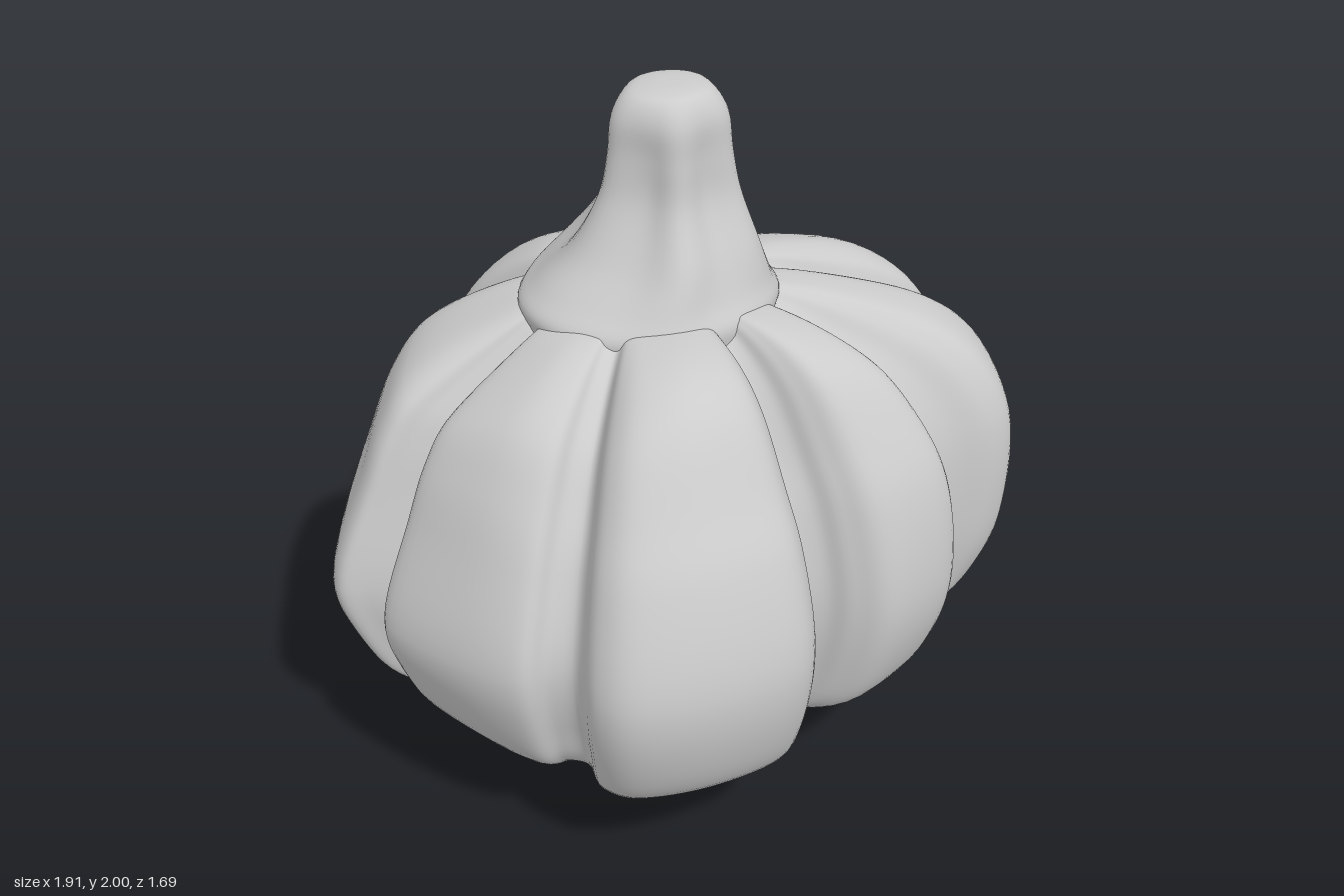
import * as THREE from 'three';

// Closed loft: fn(t, u) gives a point, t runs top to bottom, u runs round from +x towards +z.
function loft(rows, cols, fn) {
  const pos = [], idx = [];
  for (let i = 0; i <= rows; i++)
    for (let j = 0; j < cols; j++) pos.push(...fn(i / rows, j / cols));
  for (let i = 0; i < rows; i++)
    for (let j = 0; j < cols; j++) {
      const k = (j + 1) % cols;
      const a = i * cols + j, b = i * cols + k, c = a + cols, d = b + cols;
      idx.push(a, b, c, b, d, c);
    }
  const geo = new THREE.BufferGeometry();
  geo.setAttribute('position', new THREE.Float32BufferAttribute(pos, 3));
  geo.setIndex(idx);
  geo.computeVertexNormals();
  return geo;
}

const curve = (pts, closed = false) =>
  new THREE.CatmullRomCurve3(pts.map((p) => new THREE.Vector3(...p)), closed, 'centripetal');

// Lobed plan outline: x, groove depth, z
const outline = curve([
  [0.83, 1, -0.1], [0.83, 0.9, -0.04], [0.92, 0.5, 0], [0.95, 0.1, 0.13], [0.92, 0.2, 0.28],
  [0.84, 0.5, 0.345], [0.71, 0.85, 0.35], [0.63, 1, 0.37], [0.63, 0.5, 0.48], [0.58, 0.15, 0.58],
  [0.4, 0.1, 0.65], [0.29, 0.4, 0.61], [0.22, 0.8, 0.55], [0.14, 1, 0.54], [0.12, 0.5, 0.72],
  [0.02, 0.15, 0.81], [-0.2, 0, 0.84], [-0.4, 0.2, 0.81], [-0.49, 0.55, 0.72], [-0.49, 1, 0.58],
  [-0.55, 0.75, 0.545], [-0.64, 0.35, 0.545], [-0.75, 0.05, 0.41], [-0.87, 0.3, 0.17], [-0.83, 0.75, 0.08],
  [-0.78, 1, 0.02], [-0.87, 0.75, -0.02], [-0.95, 0.4, -0.06], [-0.92, 0.05, -0.2], [-0.8, 0, -0.45],
  [-0.67, 0.4, -0.56], [-0.54, 0.9, -0.565], [-0.48, 1, -0.61], [-0.48, 0.5, -0.74], [-0.3, 0.1, -0.82],
  [-0.03, 0.35, -0.84], [0.05, 0.85, -0.74], [0.14, 0.9, -0.72], [0.22, 0.4, -0.77], [0.32, 0.05, -0.81],
  [0.42, 0.05, -0.77], [0.55, 0.5, -0.67], [0.61, 1, -0.57], [0.66, 0.8, -0.545], [0.75, 0.4, -0.53],
  [0.88, 0, -0.32], [0.92, 0.3, -0.2], [0.86, 0.75, -0.14],
], true);

// Side profiles (relative radius, height), top to bottom, for the four main directions
const profiles = {
  left: [[0, 1.38], [0.3, 1.41], [0.55, 1.37], [0.78, 1.29], [0.92, 1.18], [1, 1.0],
    [0.99, 0.7], [0.95, 0.55], [0.86, 0.41], [0.6, 0.27], [0.3, 0.12], [0, 0]],
  right: [[0, 1.38], [0.3, 1.41], [0.48, 1.36], [0.74, 1.23], [0.82, 1.12], [0.89, 0.95],
    [1, 0.65], [0.96, 0.5], [0.85, 0.33], [0.6, 0.18], [0.3, 0.07], [0, 0]],
  front: [[0, 1.38], [0.3, 1.43], [0.55, 1.41], [0.67, 1.34], [0.81, 1.15], [0.91, 1.0],
    [1, 0.72], [0.97, 0.5], [0.88, 0.33], [0.68, 0.22], [0.27, 0.14], [0, 0]],
  back: [[0, 1.38], [0.3, 1.41], [0.48, 1.41], [0.67, 1.33], [0.83, 1.18], [0.98, 0.95],
    [1, 0.7], [0.96, 0.55], [0.8, 0.42], [0.5, 0.22], [0.25, 0.08], [0, 0]],
};
const side = {};
for (const key in profiles) side[key] = curve(profiles[key].map(([r, y]) => [r, y, 0]));

function bodyPoint(t, u) {
  // the axis leans slightly back towards the base
  const cx = -0.03 - 0.02 * t, cz = -0.08 - 0.03 * t;
  const p = outline.getPoint(u);
  const dx = p.x - cx, dz = p.z - cz;
  const wx = (dx * dx) / (dx * dx + dz * dz);
  const a = (dx > 0 ? side.left : side.right).getPoint(t);
  const b = (dz > 0 ? side.front : side.back).getPoint(t);
  const f = a.x * wx + b.x * (1 - wx);
  const y = a.y * wx + b.y * (1 - wx);
  // grooves sink into the crown, and fill up towards the underside
  const groove = THREE.MathUtils.clamp(p.y, 0, 1);
  const sink = groove * (y > 0.72 ? 0.16 : 0.04) * (0.72 - y) * THREE.MathUtils.smoothstep(f, 0.2, 0.75);
  const r = f * (1 + 0.22 * groove * THREE.MathUtils.smoothstep(t, 0.66, 0.92));
  return [cx + dx * r, y + sink, cz + dz * r];
}

// Stem sections: height, centre x, centre z, radius x, radius z, flute depth
const stemRows = [
  [2, 0.02, -0.04, 0, 0, 0], [1.997, 0.02, -0.04, 0.06, 0.06, 0], [1.98, 0.015, -0.04, 0.115, 0.105, 0.02],
  [1.92, 0.015, -0.04, 0.15, 0.135, 0.05], [1.82, 0.015, -0.04, 0.155, 0.14, 0.1],
  [1.7, 0.015, -0.045, 0.175, 0.16, 0.12], [1.56, 0.005, -0.06, 0.235, 0.245, 0.09],
  [1.46, -0.02, -0.075, 0.305, 0.3, 0.05], [1.4, -0.03, -0.08, 0.35, 0.33, 0.02],
  [1.34, -0.03, -0.08, 0.34, 0.32, 0],
];
const stemCentre = curve(stemRows.map(([y, x, z]) => [x, y, z]));
const stemSize = curve(stemRows.map((r) => [r[3], r[4], r[5]]));
stemCentre.curveType = stemSize.curveType = 'catmullrom';

function stemPoint(t, u) {
  const c = stemCentre.getPoint(t), s = stemSize.getPoint(t);
  const ang = u * Math.PI * 2;
  // five flutes, one of them deeper
  const k = 1 + s.z * Math.cos(5 * (ang - 0.6)) - s.z * 1.2 * Math.exp(-(((ang - 2.1) / 0.3) ** 2));
  return [c.x + Math.cos(ang) * s.x * k, Math.min(c.y, 2), c.z + Math.sin(ang) * s.y * k];
}

export function createModel() {
  const material = new THREE.MeshStandardMaterial({ color: 0xcccccc, side: THREE.DoubleSide });
  const group = new THREE.Group();
  group.name = 'pumpkin';

  const body = new THREE.Mesh(loft(66, 288, bodyPoint), material);
  body.name = 'lobedBody';
  const stem = new THREE.Mesh(loft(45, 60, stemPoint), material);
  stem.name = 'stem';

  group.add(body, stem);
  return group;
}
